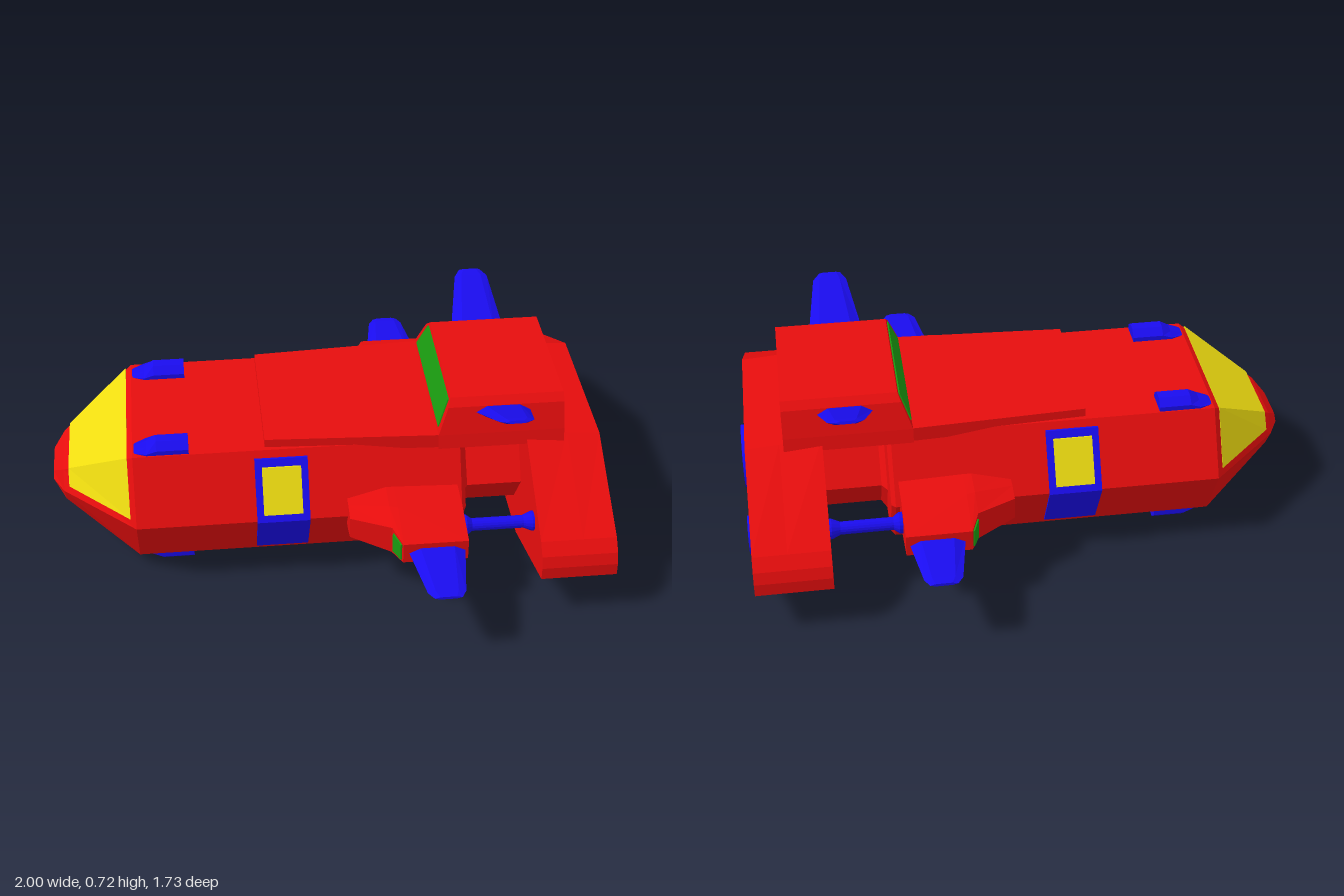
import * as THREE from 'three';

const mat = (color) => new THREE.MeshStandardMaterial({ color, flatShading: true, side: THREE.DoubleSide });
const red = mat(0xe60d0d), blue = mat(0x1a0cee), yellow = mat(0xeedc10), green = mat(0x1a9a10);
const CZ = -0.012; // the hull's centre line

// Solid through convex rings of equal length, capped and turned outwards
function loft(rings) {
  const n = rings[0].length, tris = [];
  for (let r = 0; r + 1 < rings.length; r++) {
    for (let i = 0; i < n; i++) {
      const j = (i + 1) % n, a = rings[r], b = rings[r + 1];
      tris.push([a[i], a[j], b[j]], [a[i], b[j], b[i]]);
    }
  }
  const first = rings[0], last = rings[rings.length - 1];
  for (let i = 1; i + 1 < n; i++) {
    tris.push([first[0], first[i + 1], first[i]], [last[0], last[i], last[i + 1]]);
  }
  let volume = 0;
  const [A, B, C] = [0, 0, 0].map(() => new THREE.Vector3());
  for (const [a, b, c] of tris) volume += A.set(...a).dot(B.set(...b).cross(C.set(...c)));
  if (volume < 0) tris.forEach((t) => t.reverse());
  const geo = new THREE.BufferGeometry();
  geo.setAttribute('position', new THREE.Float32BufferAttribute(tris.flat(2), 3));
  geo.computeVertexNormals();
  return geo;
}

// Hull sections
const hex = (x, zTop, zMid, yTop, yBot) => [
  [x, yTop, -zTop], [x, yTop, zTop], [x, 0.275, zMid], [x, yBot, zTop], [x, yBot, -zTop], [x, 0.275, -zMid]];
const sideZ = (y) => 0.415 - Math.abs(y - 0.275) / 0.225 * 0.125;

export function createModel() {
  const model = new THREE.Group(), hull = new THREE.Group();
  hull.name = 'ship';
  hull.position.z = CZ;
  model.add(hull);
  const add = (name, geo, material, parent = hull) => {
    const mesh = new THREE.Mesh(geo, material);
    mesh.name = name;
    parent.add(mesh);
    return mesh;
  };

  // Hull with nose and stepped tail
  add('hull', loft([
    hex(-1, 0.07, 0.095, 0.295, 0.25), hex(-0.96, 0.12, 0.17, 0.335, 0.2),
    hex(-0.7, 0.29, 0.415, 0.5, 0.05), hex(0.47, 0.29, 0.415, 0.5, 0.05),
    hex(0.485, 0.28, 0.4, 0.485, 0.065), hex(0.49, 0.21, 0.31, 0.42, 0.12),
    hex(0.51, 0.19, 0.28, 0.4, 0.14), hex(0.73, 0.19, 0.28, 0.4, 0.14)]), red);

  // Wrap-around windshield
  const glass = (x, zTop, zLow, yTop) => [[x, 0.3, -zLow], [x, yTop, -zTop], [x, yTop, zTop], [x, 0.3, zLow]];
  add('windshield', loft([glass(-0.94, 0.138, 0.177, 0.354), glass(-0.72, 0.281, 0.388, 0.493)]), yellow);

  // Roof slab and raised engine housing
  const level = (y, x0, x1, z0, z1) => [[x0, y, -z0], [x0, y, z0], [x1, y, z1], [x1, y, -z1]];
  add('roofSlab', loft([level(0.48, -0.23, 0.44, 0.275, 0.31), level(0.53, -0.23, 0.44, 0.27, 0.305)]), red);
  add('roofHousing', loft([
    level(0.48, 0.39, 0.845, 0.318, 0.318), level(0.53, 0.39, 0.845, 0.305, 0.305),
    level(0.625, 0.426, 0.845, 0.272, 0.272), level(0.65, 0.436, 0.845, 0.245, 0.245)]), red);
  const pane = (dx) => [
    [0.396 + dx, 0.545, -0.27], [0.396 + dx, 0.545, 0.27], [0.432 + dx, 0.64, 0.24], [0.432 + dx, 0.64, -0.24]];
  add('roofWindow', loft([pane(-0.005), pane(0.01)]), green);

  // Thruster block: solid front, open recess at the rear
  const mirrored = (pts) => [...pts, ...pts.map(([z, y]) => [-z, y]).reverse()].map((p) => new THREE.Vector2(...p));
  const outer = mirrored([[0.29, 0.51], [0.645, 0.295], [0.682, 0.255], [0.697, 0.215], [0.697, 0.168], [0.27, 0.025]]);
  const inner = mirrored([[0.265, 0.455], [0.61, 0.26], [0.64, 0.225], [0.655, 0.185], [0.25, 0.06]]);
  const block = (holes, x, depth) => {
    const shape = new THREE.Shape(outer);
    if (holes) shape.holes.push(new THREE.Path(inner));
    const geo = new THREE.ExtrudeGeometry(shape, { depth, bevelEnabled: false });
    geo.rotateY(Math.PI / 2).translate(x, 0, 0);
    const p = geo.attributes.position;
    for (let i = 0; i < p.count; i++) {
      if (p.getY(i) > 0.48) p.setY(i, p.getY(i) - 0.02 * (p.getX(i) - 0.71) / 0.27);
    }
    geo.computeVertexNormals();
    return geo;
  };
  add('thrusterBase', block(false, 0.71, 0.15), red);
  add('thrusterRim', block(true, 0.86, 0.12), red);

  // Engine nozzles: outer collar, inner cup
  const nozzle = (y, z, r, xEnd) => {
    const s = r * 0.7, d = xEnd - 0.85;
    const profile = [[r, 0], [r, d - 0.04], [r * 0.94, d - 0.03], [s, d - 0.03], [s, d],
      [s * 0.88, d], [s * 0.82, d - 0.03], [0, d - 0.03]].map((p) => new THREE.Vector2(...p));
    const smooth = blue.clone();
    smooth.flatShading = false;
    const geo = new THREE.LatheGeometry(profile, 32).rotateZ(-Math.PI / 2).translate(0.85, y, z);
    add('nozzle', geo, smooth);
  };
  nozzle(0.255, 0, 0.165, 1);
  for (const s of [1, -1]) {
    nozzle(0.24, s * 0.45, 0.096, 0.99);
    nozzle(0.34, s * 0.267, 0.074, 0.975);
    nozzle(0.17, s * 0.267, 0.074, 0.975);
  }

  // Fin blade: rows of [span, front x, rear x, half thickness], tilted up by an angle
  const blade = (rows, s, y0, z0, angle) => loft(rows.map(([d, x0, x1, t]) => {
    const inset = (x1 - x0) * 0.2;
    return [[x0, 0], [x0 + inset, t], [x1 - inset, t], [x1, 0], [x1 - inset, -t], [x0 + inset, -t]].map(([x, h]) => [
      x, y0 + d * Math.sin(angle) + h * Math.cos(angle), s * (z0 + d * Math.cos(angle) - h * Math.sin(angle))]);
  }));

  for (const s of [1, -1]) {
    // Side window bands
    const band = (x, yLow, yHigh, out) => {
      const ys = yLow < 0.275 ? [yHigh, 0.275, yLow] : [yHigh, (yHigh + yLow) / 2, yLow];
      return [...ys.map((y) => [x, y, s * (sideZ(y) + out)]), [x, yLow, s * 0.2], [x, yHigh, s * 0.2]];
    };
    add('windowFrame', loft([band(-0.27, 0.075, 0.475, 0.008), band(-0.08, 0.075, 0.475, 0.008)]), blue);
    add('sideWindow', loft([band(-0.245, 0.3, 0.45, 0.013), band(-0.105, 0.3, 0.45, 0.013)]), yellow);

    // Wing pods with a small front light
    const pod = (x, hIn, zMid, hMid, zOut, hOut) => [
      [0.35, hIn], [zMid, hMid], [zOut, hOut], [zOut, -hOut], [zMid, -hMid], [0.35, -hIn],
    ].map(([z, h]) => [x, 0.275 + h, s * z]);
    add('wingPod', loft([
      pod(0.055, 0.058, 0.42, 0.055, 0.48, 0.042), pod(0.195, 0.086, 0.47, 0.08, 0.56, 0.055),
      pod(0.225, 0.086, 0.48, 0.08, 0.637, 0.04), pod(0.455, 0.08, 0.48, 0.074, 0.637, 0.04)]), red);
    const light = (dx) => [[0.2, 0.04, 0.573], [0.221, 0.033, 0.628], [0.221, -0.033, 0.628], [0.2, -0.04, 0.573]]
      .map(([x, h, z]) => [x + dx, 0.275 + h, s * z]);
    add('podLight', loft([light(-0.005), light(0.01)]), green);

    // Strut from pod to thruster block
    const strut = [[0.038, 0], [0.038, 0.015], [0.023, 0.035], [0.023, 0.22], [0.036, 0.25], [0.036, 0.265]]
      .map((p) => new THREE.Vector2(...p));
    add('strut', new THREE.LatheGeometry(strut, 16).rotateZ(-Math.PI / 2).translate(0.452, 0.278, s * 0.507), blue);

    // Wings and tail fins
    add('wing', blade([[0, 0.245, 0.445, 0.02], [0.215, 0.28, 0.412, 0.009], [0.245, 0.3, 0.395, 0.005]],
      s, 0.275, 0.62, 0), blue, model);
    add('tailFin', blade([[0, 0.52, 0.725, 0.022], [0.25, 0.565, 0.69, 0.009], [0.28, 0.585, 0.665, 0.005]],
      s, 0.59, 0.25, 0.47), blue);

    // Wedge vents above and below the nose end of the hull
    for (const [name, base, up] of [['topVent', 0.495, 1], ['bottomVent', 0.055, -1]]) {
      const vent = (x, w, h) => [[w, 0], [w, h * 0.5], [w * 0.4, h], [-w * 0.4, h], [-w, h * 0.5], [-w, 0]]
        .map(([z, y]) => [x, base + up * y, s * 0.235 + z]);
      add(name, loft([vent(-0.695, 0.03, 0.008), vent(-0.65, 0.05, 0.022),
        vent(-0.615, 0.05, up > 0 ? 0.045 : 0.055), vent(-0.5, 0.05, up > 0 ? 0.045 : 0.055)]), blue);
    }
  }
  return model;
}
